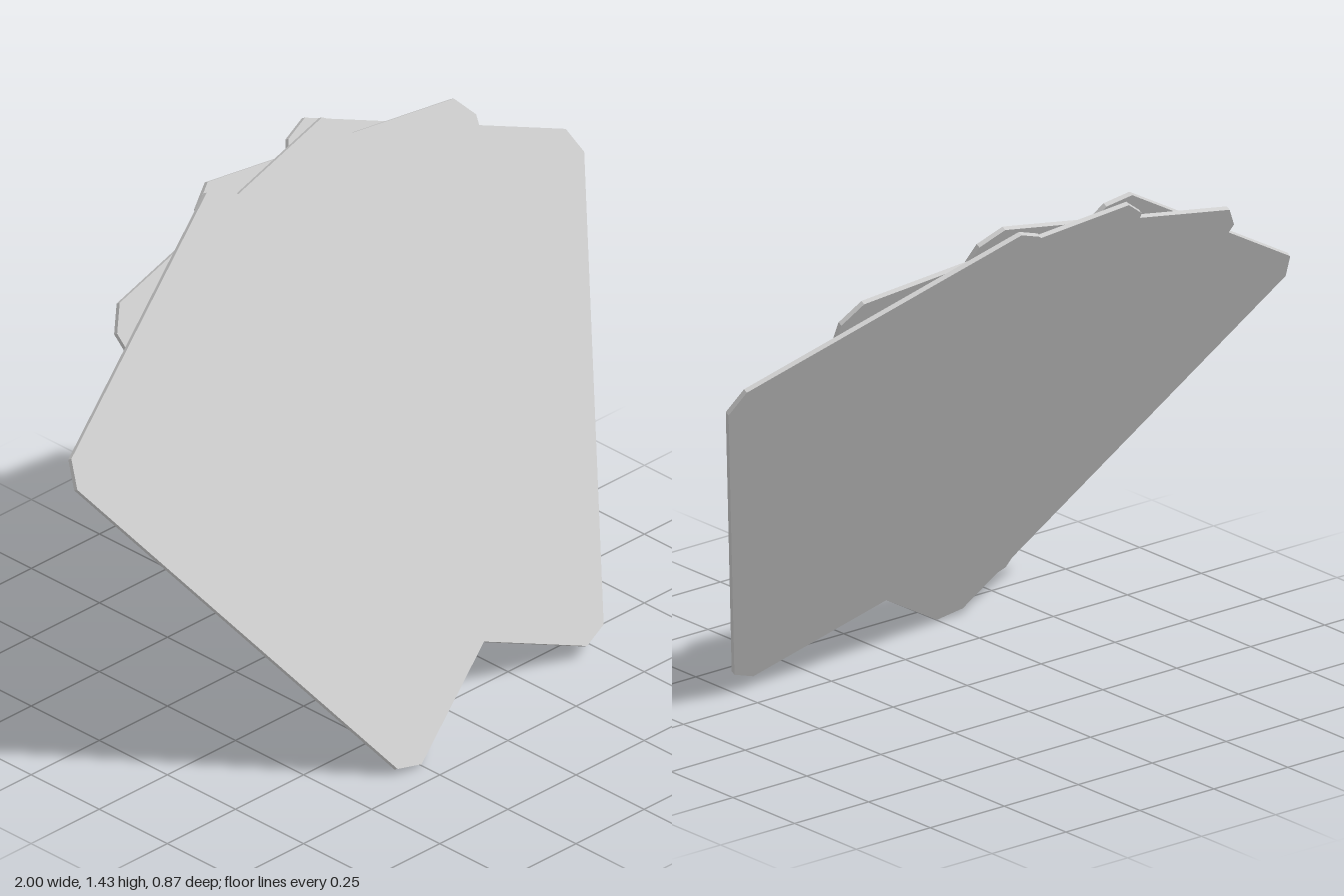
import * as THREE from 'three';

const WIDTH = 0.977, HEIGHT = 1.351, CORNER = 0.058, THICKNESS = 0.013;
const TILT = THREE.MathUtils.degToRad(29.2);

// Card blank: a rectangle with cut corners, extruded and centred on its thickness
function cardGeometry() {
  const w = WIDTH / 2, h = HEIGHT / 2, c = CORNER;
  const outline = [
    [w, -h + c], [w, h - c], [w - c, h], [-w + c, h],
    [-w, h - c], [-w, -h + c], [-w + c, -h], [w - c, -h],
  ].map(([x, y]) => new THREE.Vector2(x, y));
  const geometry = new THREE.ExtrudeGeometry(new THREE.Shape(outline), { depth: THICKNESS, bevelEnabled: false });
  return geometry.translate(0, 0, -THICKNESS / 2);
}

export function createModel() {
  const model = new THREE.Group();
  model.name = 'cardFan';
  const material = new THREE.MeshStandardMaterial({ color: 0xcccccc, flatShading: true });
  const geometry = cardGeometry();

  // Front to back: centre x, centre y, fan angle in degrees, z where the card's plane meets the ground
  const cards = [
    [-0.256, 0.703, 32.8, 0.432],
    [-0.067, 0.765, 13.2, 0.410],
    [0.139, 0.770, -6.4, 0.387],
    [0.308, 0.727, -23, 0.365],
  ];
  cards.forEach(([x, y, angle, groundZ], i) => {
    const card = new THREE.Mesh(geometry, material);
    card.name = `card${i + 1}`;
    card.position.set(x, y, groundZ - y * Math.tan(TILT));
    // Fan within the card's plane first, then lean back
    card.rotation.set(-TILT, 0, THREE.MathUtils.degToRad(angle));
    model.add(card);
  });
  return model;
}
